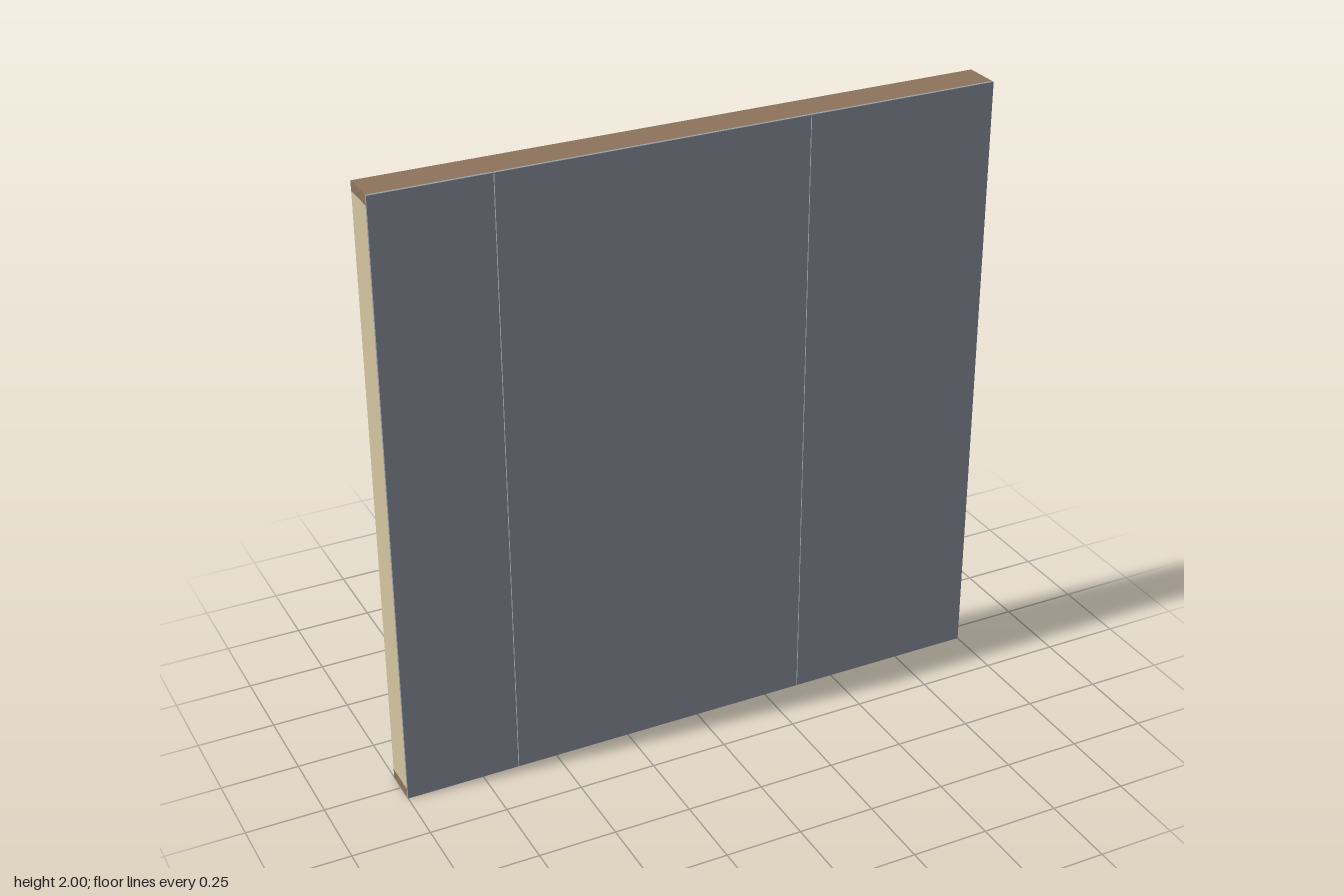
import * as THREE from 'three';

const HEIGHT = 2, HALF = 1;       // overall height and half width
const T = 0.0313;                 // timber thickness
const SHEET = 0.009;              // sheathing thickness
const BACK = -0.062, FRONT = 0.062;
const FRAME_FRONT = FRONT - SHEET;
const RECESS = 0.021;             // insulation set back from the rear of the studs
const GAP = 0.0026;               // joint between sheathing panels

const mat = (color) => new THREE.MeshStandardMaterial({ color });

export function createModel() {
  const group = new THREE.Group();
  const plateMat = mat(0x8f745c);
  const studMat = mat(0xd6c7a1);
  const sheetMat = mat(0x98a1ab);
  const insulationMat = mat(0xd8c8c8);

  // Box given by its extents on each axis
  const block = (name, material, [x0, x1], [y0, y1], [z0, z1]) => {
    const mesh = new THREE.Mesh(new THREE.BoxGeometry(x1 - x0, y1 - y0, z1 - z0), material);
    mesh.position.set((x0 + x1) / 2, (y0 + y1) / 2, (z0 + z1) / 2);
    mesh.name = name;
    group.add(mesh);
  };

  const frameZ = [BACK, FRAME_FRONT];
  const between = [T, HEIGHT - T];

  // Top and bottom plates
  block('bottomPlate', plateMat, [-HALF, HALF], [0, T], frameZ);
  block('topPlate', plateMat, [-HALF, HALF], [HEIGHT - T, HEIGHT], frameZ);

  // Studs: one at each end, the others evenly spaced
  const studs = [-HALF + T / 2, -0.63, -0.13, 0.37, 0.87, HALF - T / 2];
  studs.forEach((x, i) => {
    block(`stud${i + 1}`, studMat, [x - T / 2, x + T / 2], between, frameZ);
  });

  // Insulation filling each bay
  for (let i = 0; i < studs.length - 1; i++) {
    block(`insulation${i + 1}`, insulationMat,
      [studs[i] + T / 2, studs[i + 1] - T / 2], between, [BACK + RECESS, FRAME_FRONT]);
  }

  // Front sheathing panels, jointed over the studs
  const joints = [-HALF - GAP / 2, -0.63, 0.37, HALF + GAP / 2];
  for (let i = 0; i < joints.length - 1; i++) {
    block(`sheathing${i + 1}`, sheetMat,
      [joints[i] + GAP / 2, joints[i + 1] - GAP / 2], [0, HEIGHT], [FRAME_FRONT, FRONT]);
  }

  return group;
}
